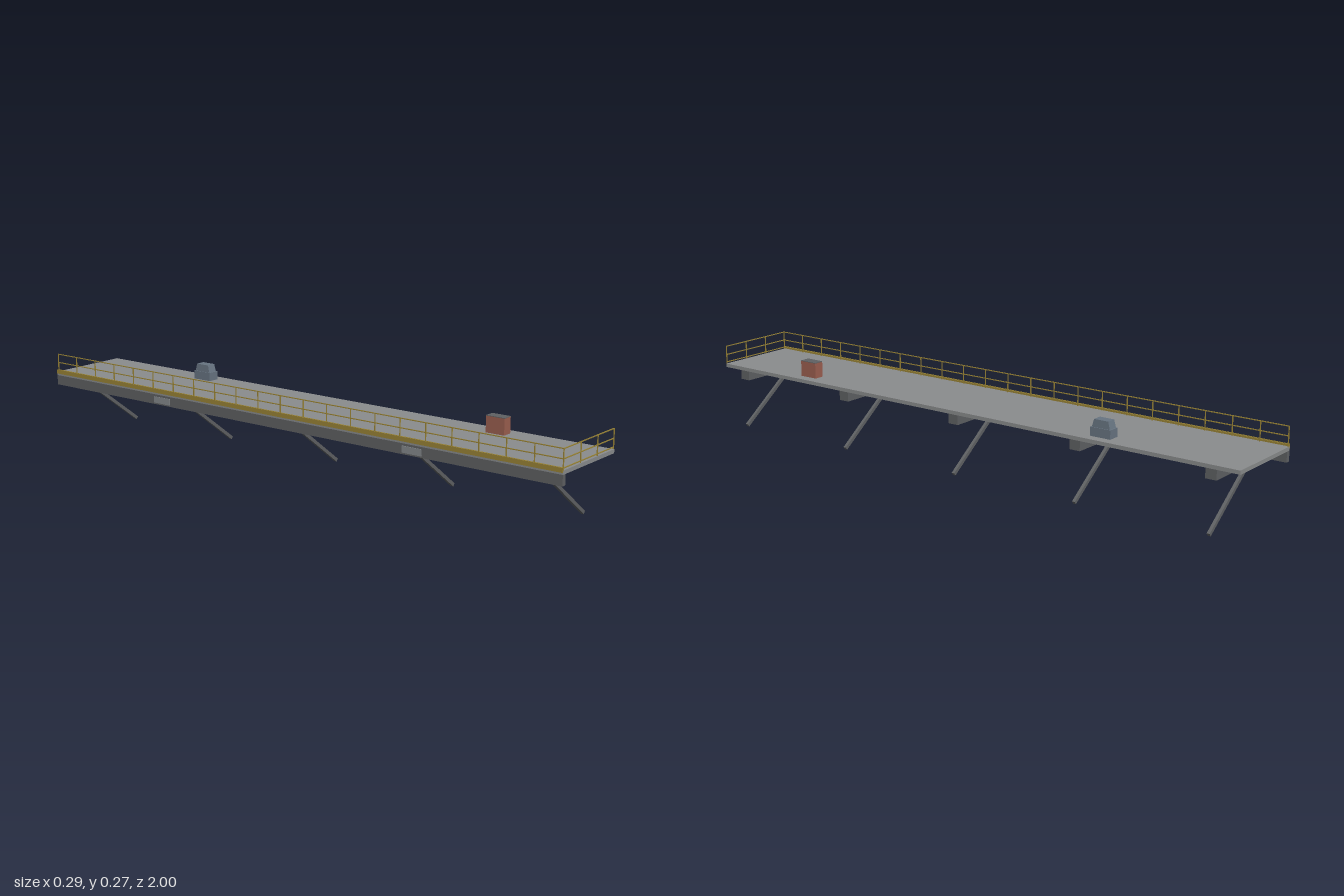
import * as THREE from 'three';

const mat = (color) => new THREE.MeshStandardMaterial({ color, flatShading: true });

export function createModel() {
  const model = new THREE.Group();
  const concrete = mat(0x8a8c8d), steel = mat(0x5f6163), yellow = mat(0x9a8436);
  const rust = mat(0x9c5f50), blue = mat(0x687582), pale = mat(0x85898c);

  // Box given by its limits on each axis
  function box(name, material, [x0, x1], [y0, y1], [z0, z1], parent = model) {
    const mesh = new THREE.Mesh(new THREE.BoxGeometry(x1 - x0, y1 - y0, z1 - z0), material);
    mesh.position.set((x0 + x1) / 2, (y0 + y1) / 2, (z0 + z1) / 2);
    mesh.name = name;
    parent.add(mesh);
    return mesh;
  }

  // Narrows the top (or bottom) of a box
  function taper(mesh, sx, sz, top = true) {
    const p = mesh.geometry.attributes.position;
    for (let i = 0; i < p.count; i++) {
      if ((p.getY(i) > 0) === top) p.setXYZ(i, p.getX(i) * sx, p.getY(i), p.getZ(i) * sz);
    }
    mesh.geometry.computeVertexNormals();
  }

  // Deck slab and edge beam
  box('deck', concrete, [-0.145, 0.143], [0.198, 0.21], [-1, 1]);
  box('edgeBeam', steel, [-0.145, -0.13], [0.165, 0.198], [-1, 1]);
  for (const z of [-0.5, 0.5]) {
    box('edgePanel', pale, [-0.147, -0.144], [0.17, 0.191], [z - 0.035, z + 0.035]);
  }

  // Cross beams, each with a diagonal brace
  const bay = 2 / 22;
  const top = new THREE.Vector2(-0.075, 0.166), foot = new THREE.Vector2(0.142, 0.0045);
  for (let i = -2; i <= 2; i++) {
    const z = i * 5 * bay;
    box('crossBeam', steel, [-0.131, 0.143], [0.167, 0.198], [z - 0.018, z + 0.018]);
    const brace = new THREE.Mesh(new THREE.BoxGeometry(top.distanceTo(foot), 0.011, 0.01), steel);
    brace.position.set((top.x + foot.x) / 2, (top.y + foot.y) / 2, z);
    brace.rotation.z = Math.atan2(foot.y - top.y, foot.x - top.x);
    brace.name = 'diagonalBrace';
    model.add(brace);
  }

  // Housings hanging under the deck
  for (const z of [-0.7, -0.3, 0.3, 0.7]) {
    box('underHousing', pale, [-0.014, 0.014], [0.166, 0.199], [z - 0.038, z + 0.038]);
    taper(box('underLens', pale, [-0.014, 0.014], [0.162, 0.166], [z - 0.038, z + 0.038]), 0.8, 0.92, false);
  }

  // Railings along the closed side and across the front end
  const r = 0.0014, railX = -0.14, endX = 0.1415, railZ = 0.9975;
  const railing = new THREE.Group();
  railing.name = 'railing';
  model.add(railing);
  for (const y of [0.216, 0.242, 0.271]) {
    box('sideRail', yellow, [railX - r, railX + r], [y - r, y + r], [-railZ, railZ], railing);
    box('endRail', yellow, [railX, endX], [y - r, y + r], [railZ - r, railZ + r], railing);
  }
  for (let i = 0; i <= 22; i++) {
    const z = -railZ + (i * 2 * railZ) / 22;
    box('sidePost', yellow, [railX - r, railX + r], [0.208, 0.272], [z - r, z + r], railing);
  }
  for (let i = 1; i <= 3; i++) {
    const x = railX + (i * (endX - railX)) / 3;
    box('endPost', yellow, [x - r, x + r], [0.208, 0.272], [railZ - r, railZ + r], railing);
  }
  box('toeBoard', yellow, [-0.147, -0.144], [0.204, 0.218], [-1, 1], railing);

  // Cabinet standing on the deck
  box('cabinet', rust, [0.075, 0.109], [0.209, 0.261], [0.611, 0.675]);
  box('cabinetLid', steel, [0.075, 0.109], [0.261, 0.263], [0.611, 0.675]);

  // Two-tier machine on the deck
  box('machineBase', blue, [0.073, 0.112], [0.209, 0.238], [-0.557, -0.487]);
  taper(box('machineHood', blue, [0.076, 0.109], [0.238, 0.262], [-0.553, -0.491]), 0.95, 0.8);

  return model;
}
